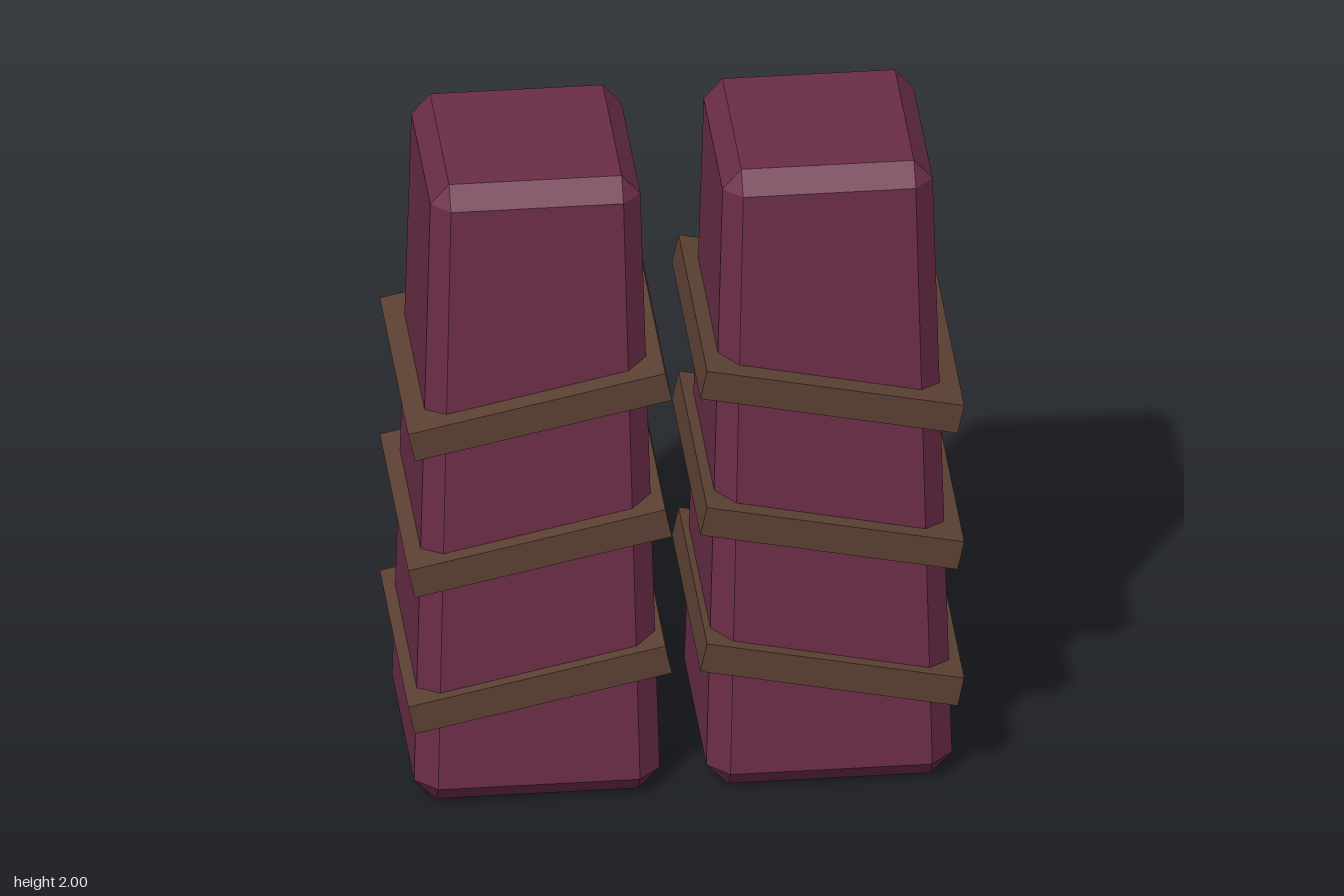
import * as THREE from 'three';
import { ConvexGeometry } from 'three/addons/geometries/ConvexGeometry.js';

const wine = new THREE.MeshStandardMaterial({ name: 'wine', color: 0x6b2d47 });
const brown = new THREE.MeshStandardMaterial({ name: 'brown', color: 0x5c4033 });

// Tapered block with every edge bevelled
function bevelledColumn() {
  const points = [];
  const add = (y, x, z) => {
    for (const sx of [-1, 1]) for (const sz of [-1, 1]) points.push(new THREE.Vector3(sx * x, y, sz * z));
  };
  for (const [yEnd, yBevel, x, z, inset] of [
    [0, 0.065, 0.353, 0.367, 0.063],
    [2, 1.938, 0.302, 0.315, 0.054],
  ]) {
    add(yEnd, x - inset, z - inset);
    add(yBevel, x, z - inset);
    add(yBevel, x - inset, z);
  }
  return new ConvexGeometry(points);
}

export function createModel() {
  const model = new THREE.Group();
  model.name = 'strappedColumns';
  const columnGeometry = bevelledColumn();
  const strapGeometry = new THREE.BoxGeometry(0.756, 0.092, 0.786);

  for (const side of [-1, 1]) {
    const leg = new THREE.Group();
    leg.name = side > 0 ? 'leftLeg' : 'rightLeg';
    leg.position.x = side * 0.42;

    const column = new THREE.Mesh(columnGeometry, wine);
    column.name = 'column';
    leg.add(column);

    // Slanted straps, higher on the inner side
    for (let i = 0; i < 3; i++) {
      const strap = new THREE.Mesh(strapGeometry, brown);
      strap.name = 'strap';
      strap.position.y = 0.392 + i * 0.45;
      strap.rotation.z = -side * THREE.MathUtils.degToRad(12);
      leg.add(strap);
    }
    model.add(leg);
  }
  return model;
}
